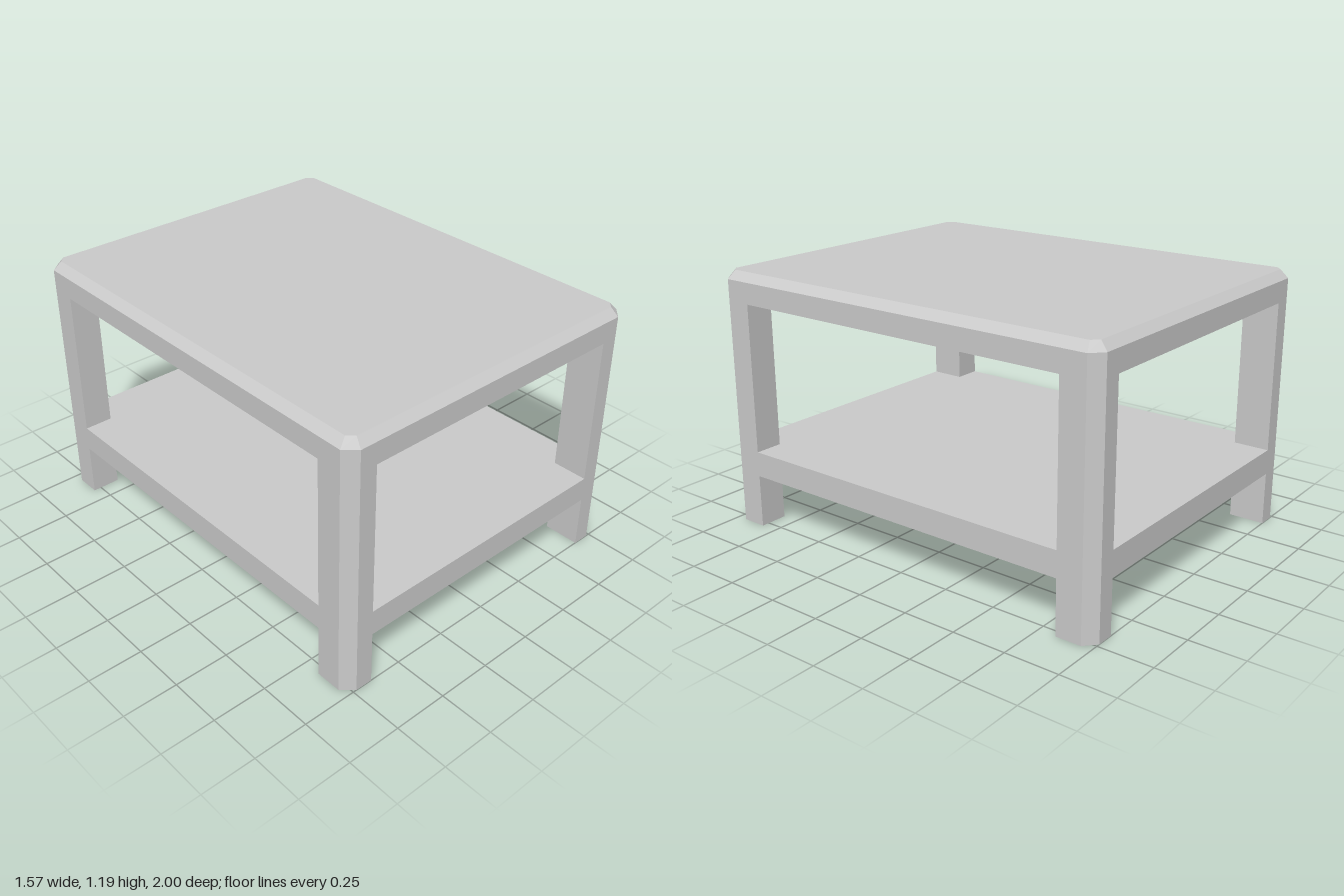
import * as THREE from 'three';

// Half sizes: outer faces, start of the corner cut, inner faces of the legs
const X = 0.786, Z = 1, CX = 0.733, CZ = 0.951, IX = 0.653, IZ = 0.833;
// Heights: shelf bottom and top, apron bottom, start of the bevel, table top
const SHELF_LOW = 0.248, SHELF_HIGH = 0.365, APRON = 1.057, BEVEL = 1.155, TOP = 1.193;

const material = new THREE.MeshStandardMaterial({
  color: 0xcccccc, flatShading: true, side: THREE.DoubleSide,
});

function addMesh(parent, geometry, name) {
  const mesh = new THREE.Mesh(geometry, material);
  mesh.name = name;
  parent.add(mesh);
}

// Closed ring of walls between two [x, z] outlines
function band(low, y0, high, y1) {
  const pos = [];
  low.forEach((a, i) => {
    const j = (i + 1) % low.length;
    const A = [a[0], y0, a[1]], B = [low[j][0], y0, low[j][1]];
    const C = [high[j][0], y1, high[j][1]], D = [high[i][0], y1, high[i][1]];
    pos.push(...A, ...B, ...C, ...A, ...C, ...D);
  });
  const g = new THREE.BufferGeometry();
  g.setAttribute('position', new THREE.Float32BufferAttribute(pos, 3));
  g.computeVertexNormals();
  return g;
}

// Flat horizontal face, facing up (dir = 1) or down (dir = -1)
function plate(outline, y, dir) {
  const shape = new THREE.Shape(outline.map(([x, z]) => new THREE.Vector2(x, -z * dir)));
  return new THREE.ShapeGeometry(shape).rotateX(-dir * Math.PI / 2).translate(0, y, 0);
}

// Rectangle with cut corners
function octagon(x, z, cx, cz) {
  return [[-cx, z], [cx, z], [x, cz], [x, -cz], [cx, -z], [-cx, -z], [-x, -cz], [-x, cz]];
}

// Rectangle with the four leg squares left out
const cross = [
  [-IX, Z], [IX, Z], [IX, IZ], [X, IZ], [X, -IZ], [IX, -IZ],
  [IX, -Z], [-IX, -Z], [-IX, -IZ], [-X, -IZ], [-X, IZ], [-IX, IZ],
];

export function createModel() {
  const table = new THREE.Group();
  table.name = 'table';
  const outer = octagon(X, Z, CX, CZ);
  const inset = octagon(0.751, 0.966, 0.722, 0.937);

  // Table top with a bevelled rim
  const top = new THREE.Group();
  top.name = 'tableTop';
  addMesh(top, band(outer, APRON, outer, BEVEL), 'apron');
  addMesh(top, band(outer, BEVEL, inset, TOP), 'bevel');
  addMesh(top, plate(inset, TOP, 1), 'topSurface');
  addMesh(top, plate(cross, APRON, -1), 'topUnderside');
  table.add(top);

  // Lower shelf, flush with the legs
  const shelf = new THREE.Group();
  shelf.name = 'shelf';
  addMesh(shelf, band(outer, SHELF_LOW, outer, SHELF_HIGH), 'shelfEdge');
  addMesh(shelf, plate(cross, SHELF_HIGH, 1), 'shelfSurface');
  addMesh(shelf, plate(cross, SHELF_LOW, -1), 'shelfUnderside');
  table.add(shelf);

  // Four hollow legs, open at the foot, with the outer corner cut off
  for (const sx of [-1, 1]) {
    for (const sz of [-1, 1]) {
      const profile = [[IX, Z], [CX, Z], [X, CZ], [X, IZ], [IX, IZ]]
        .map(([x, z]) => [x * sx, z * sz]);
      if (sx * sz < 0) profile.reverse();
      const leg = new THREE.Group();
      leg.name = (sz > 0 ? 'front' : 'back') + (sx > 0 ? 'Left' : 'Right') + 'Leg';
      addMesh(leg, band(profile, 0, profile, SHELF_LOW), 'foot');
      addMesh(leg, band(profile, SHELF_HIGH, profile, APRON), 'post');
      table.add(leg);
    }
  }
  return table;
}
